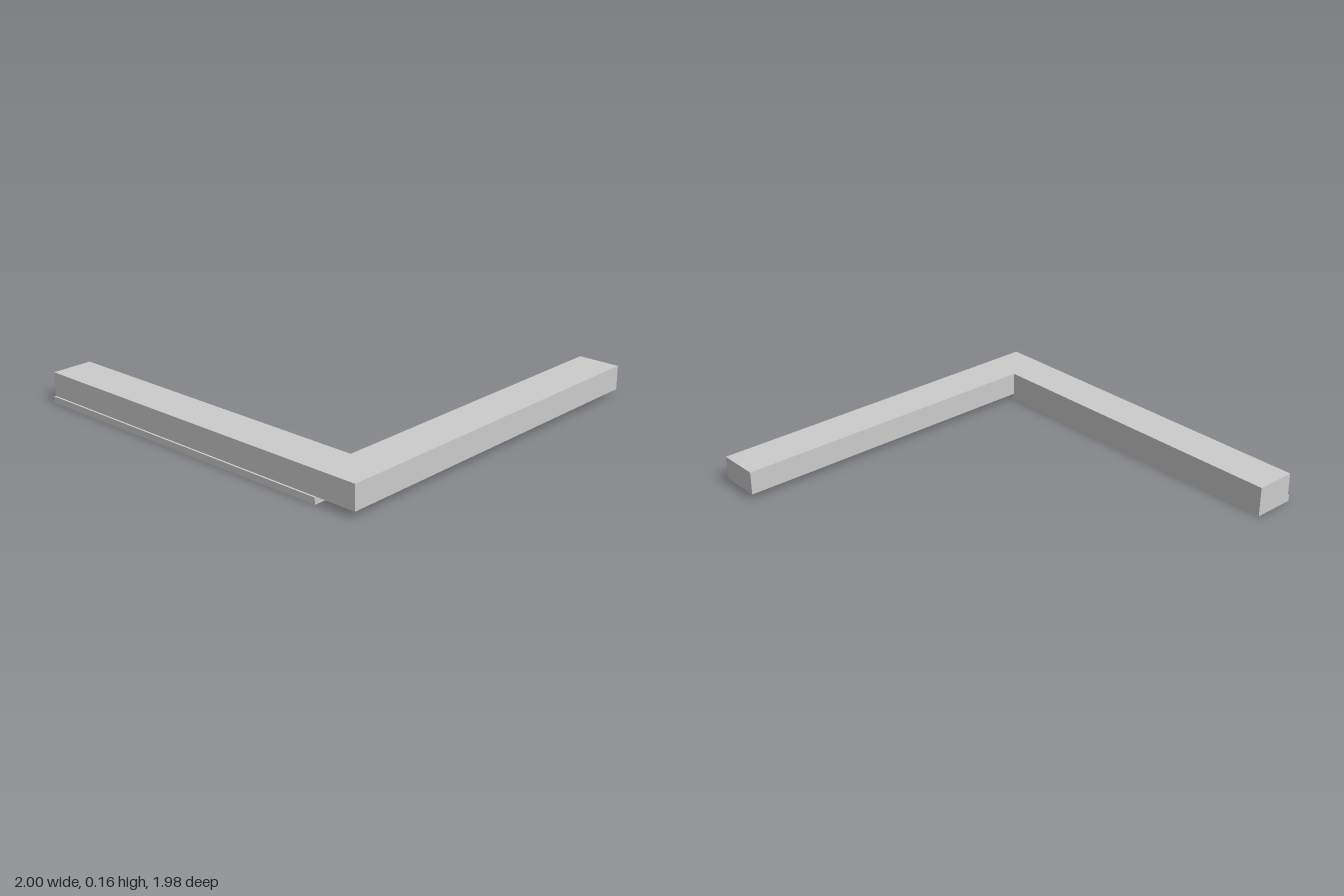
import * as THREE from 'three';

const X0 = -1, X1 = 1, SEAM = -0.115;      // ends of the long run and its joint
const ARM_X = 0.777, BACK = 0.76, FRONT = 0.98;
const FAR = -0.99, PLINTH_FRONT = 0.99, PLINTH_END = 0.784;
const BASE_H = 0.034, TOP = 0.158;

export function createModel() {
  const model = new THREE.Group();
  const material = new THREE.MeshStandardMaterial({ color: 0xcccccc, flatShading: true });

  // Extrudes a plan outline of [x, z] corners from height y0 to y1
  const slab = (name, plan, y0, y1) => {
    const shape = new THREE.Shape(plan.map(([x, z]) => new THREE.Vector2(x, -z)));
    const geometry = new THREE.ExtrudeGeometry(shape, { depth: y1 - y0, bevelEnabled: false });
    geometry.rotateX(-Math.PI / 2).translate(0, y0, 0);
    const mesh = new THREE.Mesh(geometry, material);
    mesh.name = name;
    model.add(mesh);
  };
  const rect = (x0, x1, z0, z1) => [[x0, z1], [x1, z1], [x1, z0], [x0, z0]];

  // Straight beam, and the L-shaped beam that turns the corner to the back
  slab('straightBeam', rect(X0, SEAM, BACK, FRONT), BASE_H, TOP);
  slab('cornerBeam', [
    [SEAM, FRONT], [X1, FRONT], [X1, FAR], [ARM_X, FAR], [ARM_X, BACK], [SEAM, BACK],
  ], BASE_H, TOP);

  // Thin plinths below the front run, projecting slightly forward
  slab('straightPlinth', rect(X0, SEAM, BACK, PLINTH_FRONT), 0, BASE_H);
  slab('cornerPlinth', rect(SEAM, PLINTH_END, BACK, PLINTH_FRONT), 0, BASE_H);

  return model;
}
